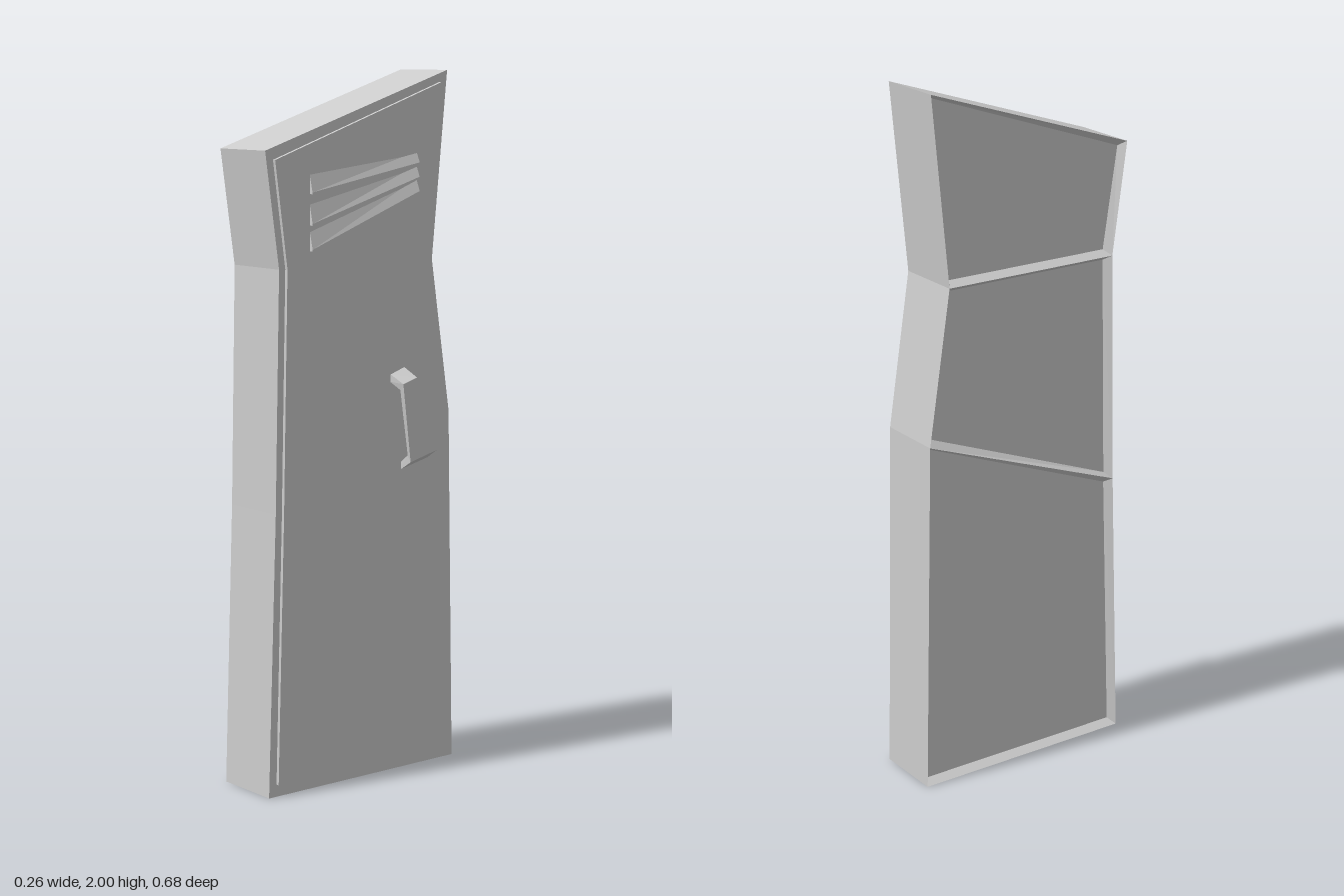
import * as THREE from 'three';

const material = new THREE.MeshStandardMaterial({ color: 0xcccccc, flatShading: true, side: THREE.DoubleSide });

// Place a [z, y] outline at a given x
const at = (x, outline) => outline.map(([z, y]) => [x, y, z]);

// Join rings of points with quads; optionally close the last ring
function loft(name, rings, cap = false) {
  const pos = [];
  const tri = (...pts) => pts.forEach((p) => pos.push(...p));
  for (let i = 0; i + 1 < rings.length; i++) {
    const r = rings[i], s = rings[i + 1], n = r.length;
    for (let j = 0; j < n; j++) {
      const k = (j + 1) % n;
      tri(r[j], r[k], s[k], r[j], s[k], s[j]);
    }
  }
  if (cap) {
    const end = rings[rings.length - 1];
    const flat = end.map((p) => new THREE.Vector2(p[1], p[2]));
    for (const [a, b, c] of THREE.ShapeUtils.triangulateShape(flat, [])) tri(end[a], end[b], end[c]);
  }
  const geo = new THREE.BufferGeometry();
  geo.setAttribute('position', new THREE.Float32BufferAttribute(pos, 3));
  geo.computeVertexNormals();
  const mesh = new THREE.Mesh(geo, material);
  mesh.name = name;
  return mesh;
}

export function createModel() {
  const model = new THREE.Group();
  model.name = 'locker';

  // Crooked cabinet shell, outlined in [z, y]
  const outline = [
    [0.338, 0], [-0.338, 0], [-0.317, 1.03], [-0.25, 1.47],
    [-0.303, 2], [0.34, 1.79], [0.295, 1.47], [0.31, 0.8],
  ];
  model.add(loft('cabinet', [at(-0.13, outline), at(0.072, outline)], true));

  // Three recessed panels on the back, one per bend of the cabinet
  const inset = 0.015;
  const signs = [[-1, 1], [1, 1], [1, -1], [-1, -1]];
  [[0, 1, 2, 7], [7, 2, 3, 6], [6, 3, 4, 5]].forEach((ids, n) => {
    const outer = ids.map((i) => outline[i]);
    const inner = outer.map(([z, y], i) => [z + signs[i][0] * inset, y + signs[i][1] * inset]);
    const rings = [at(-0.13, outer).reverse(), at(-0.105, inner).reverse()];
    model.add(loft(`backPanel${n + 1}`, rings, true));
  });

  // Raised door
  const door = [
    [0.312, 0.035], [-0.318, 0.035], [-0.297, 1.02], [-0.226, 1.47],
    [-0.276, 1.967], [0.314, 1.765], [0.274, 1.47], [0.289, 0.8],
  ];
  model.add(loft('door', [at(0.07, door), at(0.082, door)], true));

  // Slanted louvres: [left bottom, left top, right bottom, right top] heights
  [[1.67, 1.73, 1.74, 1.775], [1.585, 1.65, 1.7, 1.737], [1.515, 1.575, 1.66, 1.7]].forEach(([lb, lt, rb, rt], n) => {
    const zl = 0.197, zr = -0.184;
    const base = [[zl, lb], [zr, rb], [zr, rt], [zl, lt]];
    const lip = [[zl, lb], [zr, rb], [zr, rb + 0.005], [zl, lb + 0.005]];
    model.add(loft(`vent${n + 1}`, [at(0.08, base), at(0.094, lip)], true));
  });

  // Tapered bracket handle: x, x inside, drop to inside, then z and y of both edges
  const stations = [
    [0.08, 0.08, -0.022, -0.09, 1.155, -0.14, 1.172],
    [0.126, 0.113, -0.018, -0.1, 1.13, -0.15, 1.145],
    [0.126, 0.113, 0.018, -0.128, 0.905, -0.225, 0.93],
    [0.08, 0.08, 0.022, -0.13, 0.878, -0.23, 0.902],
  ];
  model.add(loft('handle', stations.map(([xo, xi, d, za, ya, zb, yb]) => [
    [xo, ya, za], [xo, yb, zb], [xi, yb + d, zb], [xi, ya + d, za],
  ])));

  return model;
}
